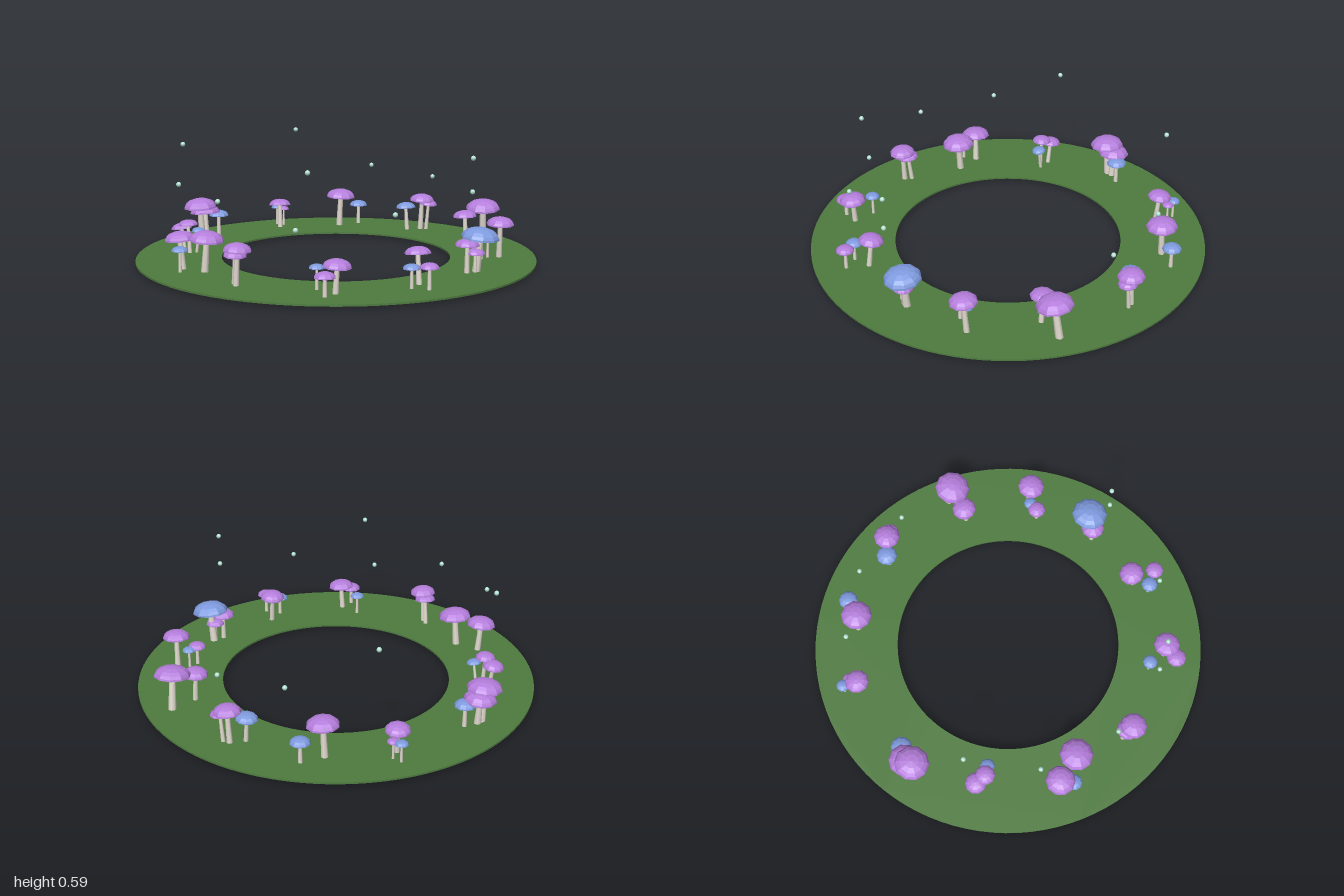
import * as THREE from 'three';

const mat = (name, color, extra = {}) => {
  const m = new THREE.MeshStandardMaterial({ color, ...extra });
  m.name = name;
  return m;
};

export function createModel() {
  const model = new THREE.Group();
  model.name = 'mushroomRing';

  const grass = mat('grass green', 0x4f7c40);
  const purple = mat('cap purple', 0xb57edc, { flatShading: true });
  const blue = mat('cap blue', 0x7f9bdf, { flatShading: true });
  const cream = mat('stem cream', 0xe4ddd2);
  const gill = mat('gill beige', 0xcdb89c);
  const glow = mat('mote mint', 0xbdeedd);

  const add = (parent, name, geo, material) => {
    const mesh = new THREE.Mesh(geo, material);
    mesh.name = name;
    parent.add(mesh);
    return mesh;
  };

  // Thin flat grass ring
  const ring = new THREE.Shape().absarc(0, 0, 0.997, 0, Math.PI * 2);
  ring.holes.push(new THREE.Path().absarc(0, 0, 0.572, 0, Math.PI * 2, true));
  const ringGeo = new THREE.ExtrudeGeometry(ring, { depth: 0.009, bevelEnabled: false, curveSegments: 48 });
  ringGeo.rotateX(-Math.PI / 2);
  add(model, 'grassRing', ringGeo, grass).position.y = 0.011;

  // Unit cap: shallow dome, slightly tucked rim, flat gills below
  const profile = [[1, 0], [0.98, 0.1], [0.89, 0.25], [0.7, 0.4], [0.4, 0.51], [0, 0.56]];
  const capGeo = new THREE.LatheGeometry(profile.map(([r, y]) => new THREE.Vector2(r, y)), 10);
  const gillGeo = new THREE.CircleGeometry(1, 10, Math.PI / 2);
  gillGeo.rotateX(Math.PI / 2);
  const stemGeo = new THREE.CylinderGeometry(0.17, 0.23, 1, 7);

  // Mushroom: cap centre x, z, cap radius, top height, stem foot offset
  const mushroom = (x, z, r, top, capMat, footX = 0, footZ = 0) => {
    const g = new THREE.Group();
    g.name = 'mushroom';
    const rim = new THREE.Vector3(x, top - r * 0.56, z);
    const foot = new THREE.Vector3(x + footX, 0.002, z + footZ);
    const dir = rim.clone().sub(foot);
    const tilt = new THREE.Quaternion().setFromUnitVectors(
      new THREE.Vector3(0, 1, 0), dir.clone().normalize());

    const stem = add(g, 'stem', stemGeo, cream);
    stem.position.copy(foot).addScaledVector(dir, 0.5);
    stem.scale.set(r, dir.length(), r);
    const cap = add(g, 'cap', capGeo, capMat);
    const under = add(g, 'gills', gillGeo, gill);
    for (const part of [cap, under]) {
      part.position.copy(rim);
      part.scale.setScalar(r);
    }
    for (const part of [stem, cap, under]) part.quaternion.copy(tilt);
    model.add(g);
  };

  // Purple mushrooms, cluster by cluster around the ring
  [
    [0.735, -0.015, 0.06, 0.185], [0.76, -0.05, 0.048, 0.135],
    [0.65, 0.30, 0.063, 0.195, 0.015, 0.01], [0.755, 0.375, 0.046, 0.145],
    [0.455, 0.67, 0.067, 0.18, -0.01, 0], [0.44, 0.745, 0.05, 0.135],
    [-0.005, 0.795, 0.067, 0.22, -0.01, 0], [-0.03, 0.78, 0.055, 0.185, -0.015, -0.01],
    [-0.443, 0.677, 0.074, 0.205, 0.01, -0.01], [-0.293, 0.66, 0.084, 0.22, -0.015, 0],
    [-0.705, 0.355, 0.054, 0.165, 0.02, 0], [-0.65, 0.37, 0.05, 0.19, 0.01, 0],
    [-0.83, 0.055, 0.087, 0.235, 0, -0.015], [-0.835, 0.01, 0.08, 0.195, 0.01, 0],
    [-0.67, -0.44, 0.061, 0.175, 0.01, 0.01], [-0.68, -0.49, 0.03, 0.125],
    [-0.41, -0.66, 0.079, 0.225, -0.01, 0],
    [0.02, -0.82, 0.067, 0.215, -0.01, 0], [0.055, -0.83, 0.048, 0.185, -0.015, 0],
    [0.445, -0.725, 0.09, 0.24, -0.01, -0.025], [0.40, -0.61, 0.062, 0.195, 0.01, 0],
    [0.71, -0.405, 0.069, 0.225, -0.01, -0.01], [0.65, -0.32, 0.046, 0.14],
  ].forEach(([x, z, r, top, fx, fz]) => mushroom(x, z, r, top, purple, fx, fz));

  // Blue mushrooms
  [
    [0.775, -0.068, 0.092, 0.235, -0.02, 0], [0.678, 0.40, 0.042, 0.135],
    [0.335, 0.655, 0.037, 0.14], [-0.40, 0.73, 0.041, 0.145],
    [-0.60, 0.345, 0.037, 0.15, -0.02, 0], [-0.79, -0.05, 0.053, 0.16],
    [-0.725, -0.49, 0.033, 0.13], [-0.36, -0.765, 0.049, 0.15],
    [-0.05, -0.765, 0.054, 0.17, 0.01, 0], [0.66, -0.37, 0.034, 0.13],
  ].forEach(([x, z, r, top, fx, fz]) => mushroom(x, z, r, top, blue, fx, fz));

  // Small floating motes
  const moteGeo = new THREE.SphereGeometry(0.0125, 8, 6);
  [
    [-0.725, 0.56, 0.31], [-0.605, 0.56, -0.505], [0.327, 0.557, 0.713],
    [0.785, 0.577, 0.034], [0.785, 0.42, 0.036], [-0.51, 0.413, 0.60],
    [-0.26, 0.362, -0.742], [-0.13, 0.393, 0.775], [0.108, 0.325, -0.778],
    [0.276, 0.297, 0.735], [0.63, 0.363, 0.468],
  ].forEach(([x, y, z]) => add(model, 'mote', moteGeo, glow).position.set(x, y, z));

  return model;
}
